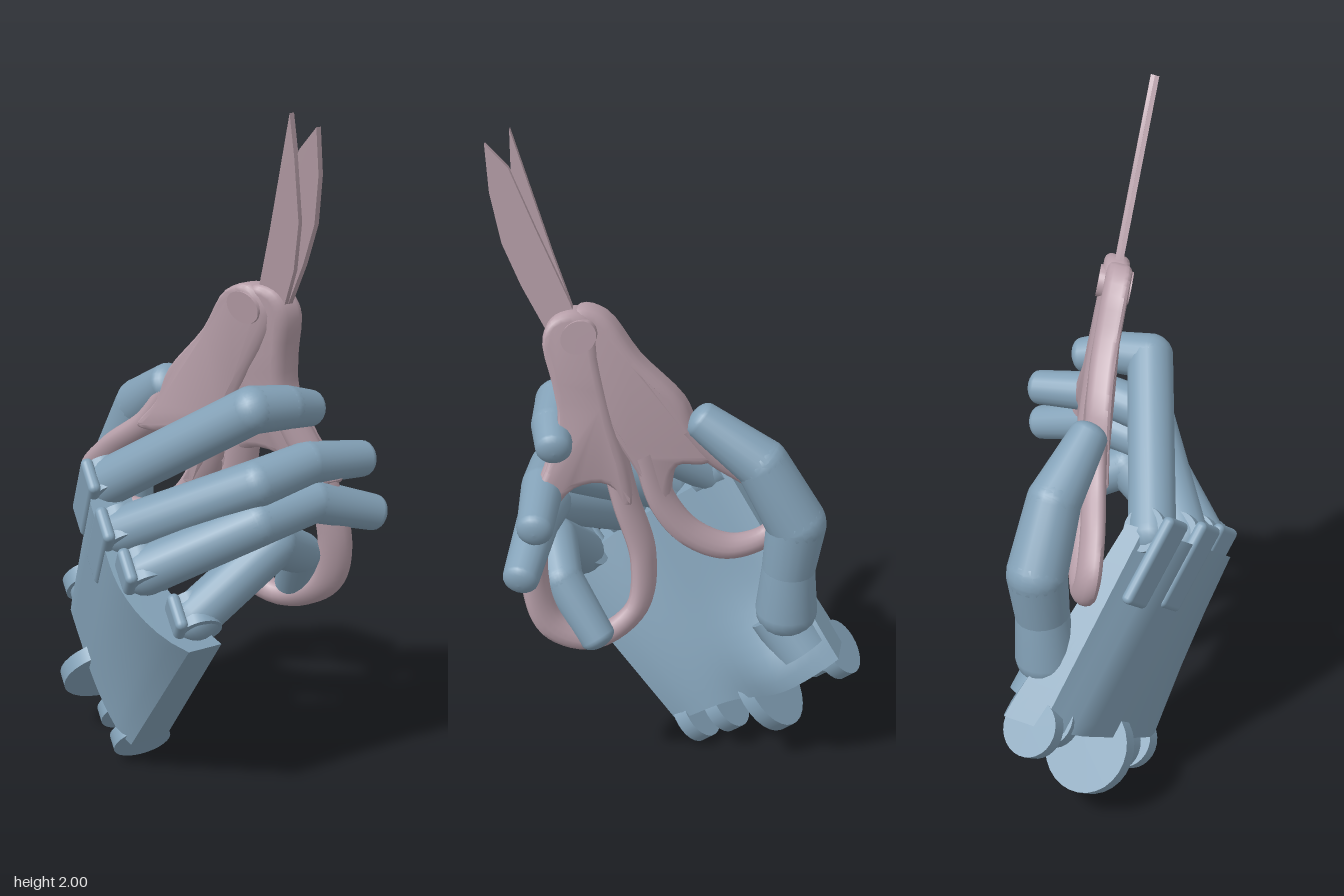
import * as THREE from 'three';
import { toCreasedNormals } from 'three/addons/utils/BufferGeometryUtils.js';
import { RoundedBoxGeometry } from 'three/addons/geometries/RoundedBoxGeometry.js';

const V = (x, y, z) => new THREE.Vector3(x, y, z);
const UP = V(0, 1, 0);
const { lerp, smoothstep } = THREE.MathUtils;
const handMat = new THREE.MeshStandardMaterial({ color: 0x84a2b8 });
const toolMat = new THREE.MeshStandardMaterial({ color: 0xb79fa9 });

function add(parent, name, geo, mat) {
  const m = new THREE.Mesh(geo, mat);
  m.name = name;
  parent.add(m);
  return m;
}

// Palm axes: along the hand, across towards the little finger, out of the palm
const along = V(-0.217, 0.78, 0.62).normalize();
const across = V(-0.145, -0.62, 0.78).normalize();
const out = along.clone().cross(across).normalize();

// Disc or pin whose axis runs along a given direction
function pin(parent, name, center, axis, r, len) {
  const m = add(parent, name, new THREE.CylinderGeometry(r, r, len, 28), handMat);
  m.position.copy(center);
  m.quaternion.setFromUnitVectors(UP, axis);
}

// Tapered finger bone: ball-shaped start, end rounded by the given amount
function bone(parent, name, a, b, ra, rb, endRound) {
  const d = b.clone().sub(a), len = d.length(), pts = [];
  for (let i = 0; i <= 6; i++) {
    const t = (i / 6) * Math.PI / 2;
    pts.push(new THREE.Vector2(ra * Math.sin(t), -ra * Math.cos(t)));
  }
  for (let i = 0; i <= 6; i++) {
    const t = (i / 6) * Math.PI / 2;
    pts.push(new THREE.Vector2(rb * Math.cos(t), len + rb * endRound * Math.sin(t)));
  }
  const m = add(parent, name, new THREE.LatheGeometry(pts, 20), handMat);
  m.position.copy(a);
  m.quaternion.setFromUnitVectors(UP, d.normalize());
}

// Chain of bones meeting in ball joints, with a blunt tip
function digit(parent, name, joints, radii) {
  const g = new THREE.Group();
  g.name = name;
  const p = joints.map(j => V(...j)), last = p.length - 2;
  for (let i = 0; i <= last; i++)
    bone(g, name + 'Bone' + (i + 1), p[i], p[i + 1], radii[i], radii[i + 1], i === last ? 0.6 : 1);
  parent.add(g);
}

// Palm: subdivided box bent onto a four-cornered outline with varying thickness
function palmGeometry() {
  const geo = new THREE.BoxGeometry(1, 1, 1, 6, 16, 16);
  const pos = geo.attributes.position;
  const [wl, wt, kl, ki] = [[0.03, 0.09], [-0.46, 0.42], [0.39, 0.53], [-0.1, 0.92]];
  for (let i = 0; i < pos.count; i++) {
    const t = pos.getX(i) + 0.5, v = pos.getY(i) + 0.5, s = pos.getZ(i) * 2;
    const k = (s + 1) / 2;
    const z = lerp(lerp(wt[0], wl[0], k), lerp(ki[0], kl[0], k), v);
    const y = lerp(lerp(wt[1], wl[1], k), lerp(ki[1], kl[1], k), v);
    const curl = (0.035 + 0.1 * v) * Math.max(0, s) ** 2;
    const chamfer = 0.05 * (1 - t) * smoothstep(-s, 0.6, 1);
    const back = -0.266 - 0.08 * y - 0.25 * z + curl;
    const thenar = 0.08 * Math.exp(-((z + 0.27) ** 2 + (y - 0.36) ** 2) / 0.02);
    const soft = 1 - 0.2 * Math.abs(s) ** 8;
    const thick = (lerp(lerp(0.2, 0.15, k), 0.13, v) + thenar) * soft;
    pos.setXYZ(i, back + chamfer + t * thick + (1 - soft) * 0.08, y, z);
  }
  return toCreasedNormals(geo, 0.6);
}

// Scissors are laid out flat as [z, y], then sheared onto a leaning plane
// that turns slightly towards the blades
function leanOnPlane(geo) {
  geo.rotateY(Math.PI / 2);
  const p = geo.attributes.position;
  for (let i = 0; i < p.count; i++) {
    const y = p.getY(i), z = p.getZ(i);
    const turn = 0.16 * smoothstep(y, 0.9, 1.4) * (z - 0.27);
    p.setX(i, p.getX(i) * 1.15 + 0.14 - 0.18 * y + 0.58 * z - turn);
  }
  return toCreasedNormals(geo, 0.7);
}

function plate(parent, name, pts, depth, offset, bevel) {
  const c = new THREE.CatmullRomCurve3(pts.map(([z, y]) => V(-z, y, 0)), true, 'centripetal');
  const shape = new THREE.Shape(c.getPoints(56).slice(0, -1).map(a => new THREE.Vector2(a.x, a.y)));
  const geo = new THREE.ExtrudeGeometry(shape, {
    depth: depth - 2 * bevel, bevelSize: bevel, bevelThickness: bevel,
    bevelOffset: -bevel, bevelSegments: 3
  });
  geo.translate(0, 0, offset - depth / 2 + bevel);
  add(parent, name, leanOnPlane(geo), toolMat);
}

// Flat blade with sharp corners
function blade(parent, name, pts, offset) {
  const shape = new THREE.Shape(pts.map(([z, y]) => new THREE.Vector2(-z, y)));
  const geo = new THREE.ExtrudeGeometry(shape, { depth: 0.012, bevelEnabled: false });
  geo.translate(0, 0, offset - 0.006);
  add(parent, name, leanOnPlane(geo), toolMat);
}

function loop(parent, name, pts, r) {
  const c = new THREE.CatmullRomCurve3(pts.map(([z, y]) => V(-z, y, 0)));
  add(parent, name, leanOnPlane(new THREE.TubeGeometry(c, 64, r, 14)), toolMat);
}

function buildScissors() {
  const g = new THREE.Group();
  g.name = 'scissors';
  // Blades
  blade(g, 'frontBlade', [[0.52, 1.97], [0.507, 1.84], [0.475, 1.7], [0.425, 1.58], [0.36, 1.45],
    [0.26, 1.4], [0.3, 1.52], [0.39, 1.73], [0.46, 1.9]], 0.005);
  blade(g, 'rearBlade', [[0.46, 2.0], [0.405, 1.83], [0.35, 1.66], [0.295, 1.5], [0.27, 1.4],
    [0.36, 1.45], [0.405, 1.56], [0.44, 1.7], [0.455, 1.88]], -0.005);
  // Handle bodies
  plate(g, 'fingerHandle', [[0.29, 1.5], [0.345, 1.485], [0.368, 1.43], [0.34, 1.3], [0.325, 1.2], [0.35, 1.08],
    [0.4, 0.93], [0.35, 0.93], [0.28, 1.0], [0.2, 1.0], [0.13, 0.92], [0.14, 1.02], [0.18, 1.17], [0.22, 1.35],
    [0.24, 1.47]], 0.07, 0.004, 0.02);
  plate(g, 'thumbHandle', [[0.28, 1.5], [0.21, 1.475], [0.12, 1.345], [0.0, 1.2], [-0.04, 1.1], [-0.1, 1.01],
    [-0.05, 1.0], [0.01, 1.01], [0.03, 0.95], [0.03, 0.85], [0.08, 0.93], [0.14, 1.05], [0.22, 1.2],
    [0.33, 1.42]], 0.07, -0.006, 0.02);
  // Finger and thumb rings
  loop(g, 'fingerRing', [[0.31, 1.12], [0.365, 0.94], [0.38, 0.74], [0.33, 0.6], [0.21, 0.54],
    [0.115, 0.6], [0.1, 0.75], [0.15, 0.93], [0.19, 1.1]], 0.034);
  loop(g, 'thumbRing', [[0.1, 1.06], [0.05, 0.9], [-0.03, 0.79], [-0.14, 0.73], [-0.24, 0.75],
    [-0.265, 0.83], [-0.2, 0.92], [-0.09, 1.02], [-0.02, 1.12]], 0.034);
  // Pivot
  const rivet = new THREE.CylinderGeometry(0.046, 0.046, 0.09, 28);
  rivet.rotateX(Math.PI / 2).translate(-0.27, 1.435, 0);
  add(g, 'pivotRivet', leanOnPlane(rivet), toolMat);
  return g;
}

export function createModel() {
  const model = new THREE.Group();
  const hand = new THREE.Group();
  hand.name = 'hand';
  model.add(hand);
  add(hand, 'palm', palmGeometry(), handMat);

  // Wrist lugs: x, y, z, radius
  [[-0.17, 0.085, -0.02, 0.085], [-0.16, 0.135, -0.11, 0.085], [-0.155, 0.21, -0.24, 0.135],
    [-0.1, 0.39, -0.37, 0.085], [-0.085, 0.4, -0.445, 0.085]]
    .forEach(([x, y, z, r]) => pin(hand, 'wristLug', V(x, y, z), across, r, 0.045));

  // Fingers
  const fingers = {
    indexFinger: [[-0.25, 0.88, -0.05], [-0.035, 1.175, 0.355], [0.08, 1.16, 0.35], [0.17, 1.135, 0.33]],
    middleFinger: [[-0.285, 0.79, 0.09], [-0.03, 0.97, 0.375], [0.14, 0.995, 0.37], [0.33, 0.965, 0.355]],
    ringFinger: [[-0.285, 0.71, 0.21], [-0.03, 0.86, 0.385], [0.15, 0.885, 0.385], [0.345, 0.815, 0.395]],
    littleFinger: [[-0.2, 0.6, 0.33], [0.04, 0.775, 0.36], [0.15, 0.71, 0.32], [0.2, 0.555, 0.21]]
  };
  const basis = new THREE.Matrix4().makeBasis(out, along, across);
  for (const [name, joints] of Object.entries(fingers)) {
    digit(hand, name, joints, [0.068, 0.066, 0.06, 0.051]);
    const k = V(...joints[0]);
    pin(hand, 'knuckle', k, across, 0.064, 0.1);
    // Guard plate over the back of each knuckle
    const guard = add(hand, 'knuckleGuard', new RoundedBoxGeometry(0.035, 0.27, 0.11, 3, 0.016), handMat);
    guard.quaternion.setFromRotationMatrix(basis);
    guard.position.copy(k).addScaledVector(along, -0.07).addScaledVector(out, -0.055);
  }

  // Thumb with its base joint
  digit(hand, 'thumb', [[-0.05, 0.55, -0.3], [-0.04, 0.69, -0.305], [-0.035, 0.84, -0.325],
    [-0.035, 1.02, -0.225], [-0.05, 1.14, -0.05]], [0.09, 0.077, 0.086, 0.077, 0.055]);
  pin(hand, 'thumbBase', V(-0.06, 0.47, -0.31), along, 0.085, 0.14);

  model.add(buildScissors());
  return model;
}
